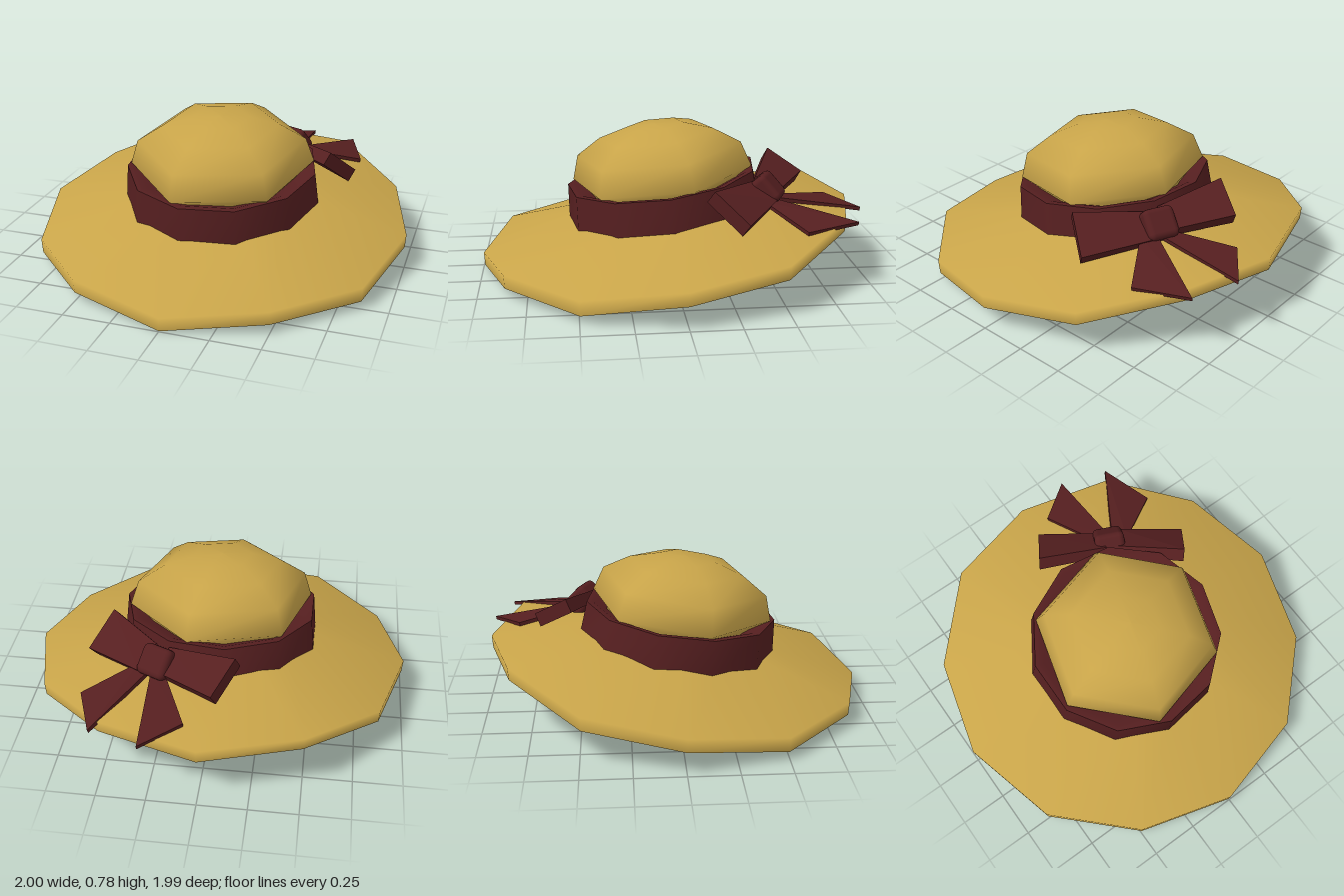
import * as THREE from 'three';
import { ConvexGeometry } from 'three/addons/geometries/ConvexGeometry.js';
import { RoundedBoxGeometry } from 'three/addons/geometries/RoundedBoxGeometry.js';

// Skin a list of rings (arrays of Vector3 with equal counts) with smooth normals
function loft(rings) {
  const n = rings[0].length, index = [];
  for (let i = 0; i < rings.length - 1; i++) {
    for (let j = 0; j < n; j++) {
      const a = i * n + j, b = i * n + (j + 1) % n, c = a + n, d = b + n;
      index.push(a, c, b, c, d, b);
    }
  }
  const geo = new THREE.BufferGeometry().setFromPoints(rings.flat());
  geo.setIndex(index);
  geo.computeVertexNormals();
  return geo;
}

// Regular ring; y may be a function of the vertex index and z
function ring(n, r, y, startDeg = 0) {
  return Array.from({ length: n }, (_, i) => {
    const a = THREE.MathUtils.degToRad(startDeg) + i * Math.PI * 2 / n;
    const z = r * Math.sin(a);
    return new THREE.Vector3(r * Math.cos(a), typeof y === 'function' ? y(i, z) : y, z);
  });
}

// Tapered ribbon slab from edge a0-b0 (thickness t0) to edge a1-b1 (thickness t1)
function ribbon(a0, b0, a1, b1, t0, t1) {
  const [p, q, r, s] = [a0, b0, a1, b1].map(v => new THREE.Vector3(...v));
  const along = r.clone().add(s).sub(p).sub(q);
  const normal = s.clone().sub(r).cross(along).normalize();
  const points = [];
  for (const [v, t] of [[p, t0], [q, t0], [r, t1], [s, t1]]) {
    for (const k of [-0.5, 0.5]) points.push(v.clone().addScaledVector(normal, k * t));
  }
  return new ConvexGeometry(points);
}

export function createModel() {
  const straw = new THREE.MeshStandardMaterial({ color: 0xc8a449 });
  straw.name = 'straw';
  const lining = new THREE.MeshStandardMaterial({ color: 0x714f22 });
  lining.name = 'lining';
  const maroon = new THREE.MeshStandardMaterial({ color: 0x561f20 });
  maroon.name = 'maroon ribbon';

  const hat = new THREE.Group();
  hat.name = 'sunHat';
  const add = (parent, name, geo, mat) => {
    const mesh = new THREE.Mesh(geo, mat);
    mesh.name = name;
    parent.add(mesh);
    return mesh;
  };

  // Brim: wavy twelve-sided rim, dipping at the front and lifting at the back
  const topY = [0.19, 0.115, 0.12, 0.07, 0.12, 0.115, 0.19, 0.25, 0.355, 0.34, 0.355, 0.25];
  const lowY = [0.12, 0.04, 0.05, 0.0, 0.05, 0.04, 0.12, 0.18, 0.29, 0.27, 0.29, 0.18];
  const shortenBack = points => {
    points.forEach(p => { if (p.z < 0) p.z *= 0.985; });
    return points;
  };
  const rimLow = shortenBack(ring(12, 0.995, i => lowY[i]));
  const rimTop = shortenBack(ring(12, 1, i => topY[i]));
  const neck = ring(12, 0.45, (i, z) => 0.34 - 0.15 * z);
  add(hat, 'brim', loft([rimLow, rimTop, neck]), straw);

  // Lining: underside of the brim, rising into a shallow hollow for the head
  const innerNeck = ring(12, 0.47, (i, z) => 0.285 - 0.15 * z);
  const hollow = ring(12, 0.25, (i, z) => 0.45 - 0.125 * z);
  add(hat, 'lining', loft([ring(12, 0, 0.53), hollow, innerNeck, rimLow]), lining);

  // Crown and band share one forward tilt
  const top = new THREE.Group();
  top.name = 'crownAndBand';
  top.position.set(0, 0.45, 0.03);
  top.rotation.x = 0.125;
  hat.add(top);

  // Six-sided domed crown with a small flat top
  const crownProfile = [[0.44, -0.1], [0.45, 0.01], [0.49, 0.045], [0.447, 0.177], [0.31, 0.263], [0.155, 0.309], [0, 0.317]];
  add(top, 'crown', loft(crownProfile.map(([r, h]) => ring(6, r, h, -15))), straw);

  // Eleven-sided ribbon band, with a flat upper edge
  const bandTop = ring(11, 0.51, 0.035, 98.2);
  add(top, 'band', loft([ring(11, 0.53, -0.165, 98.2), bandTop]), maroon);
  add(top, 'bandEdge', loft([bandTop, ring(11, 0.475, 0.033, 98.2), ring(11, 0.4, 0.0, 98.2)]), maroon);

  // Bow at the back left: two loops, two tails and a knot
  const bow = new THREE.Group();
  bow.name = 'bow';
  hat.add(bow);
  add(bow, 'bowLoopLeft',
    ribbon([0.26, 0.48, -0.4], [0.34, 0.4, -0.52], [0.53, 0.5, -0.16], [0.64, 0.355, -0.32], 0.06, 0.075), maroon);
  add(bow, 'bowLoopRight',
    ribbon([0.2, 0.49, -0.43], [0.24, 0.42, -0.55], [-0.15, 0.55, -0.56], [-0.05, 0.44, -0.73], 0.06, 0.075), maroon);
  add(bow, 'bowTailRight',
    ribbon([0.22, 0.41, -0.53], [0.29, 0.41, -0.53], [0.08, 0.37, -0.84], [0.28, 0.34, -0.99], 0.02, 0.02), maroon);
  add(bow, 'bowTailLeft',
    ribbon([0.3, 0.41, -0.52], [0.36, 0.41, -0.46], [0.53, 0.34, -0.91], [0.63, 0.325, -0.63], 0.02, 0.02), maroon);

  const knot = add(bow, 'bowKnot', new RoundedBoxGeometry(0.165, 0.16, 0.125, 2, 0.03), maroon);
  knot.position.set(0.26, 0.452, -0.49);
  knot.rotation.set(0.75, -0.42, 0, 'YXZ');

  return hat;
}
